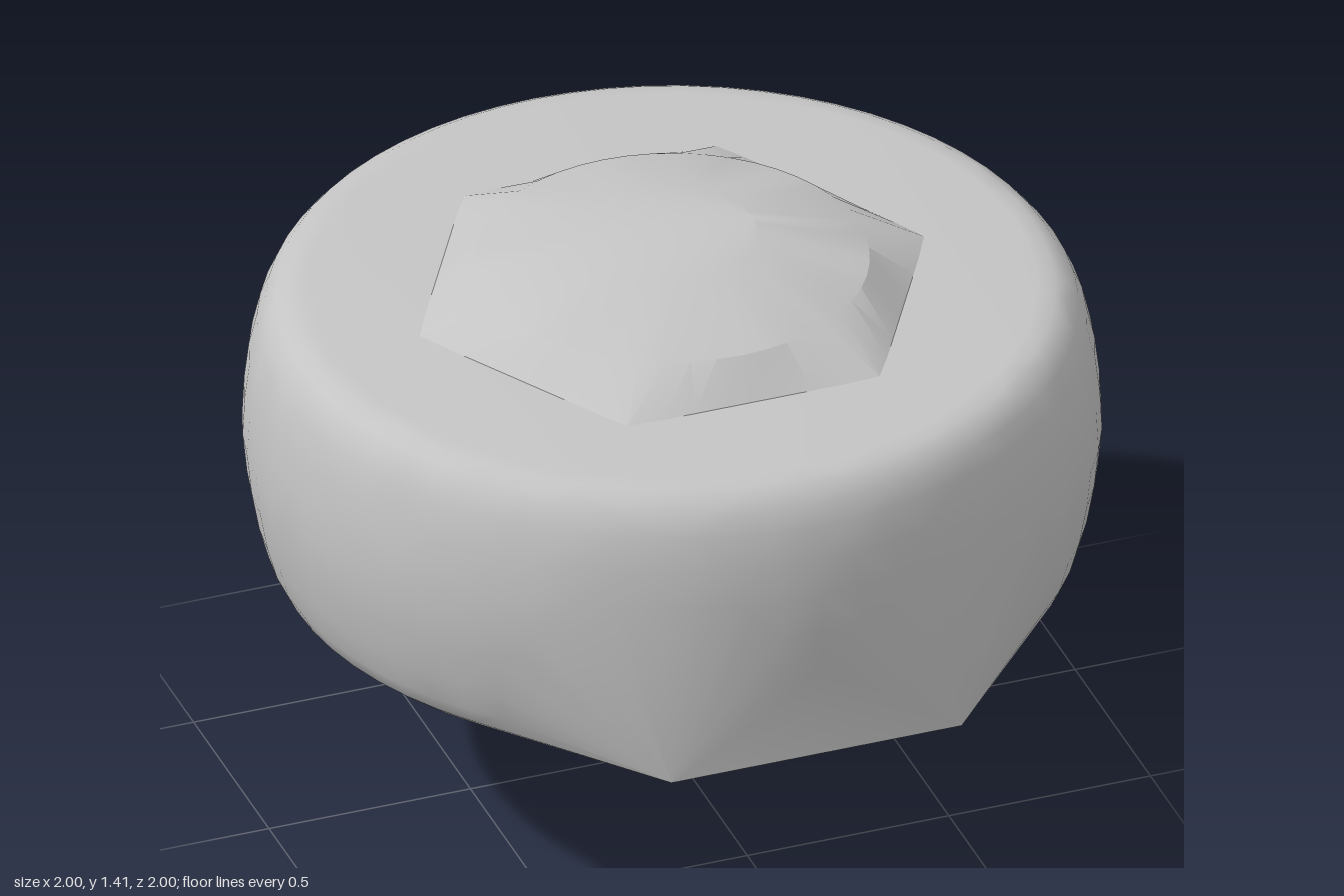
import * as THREE from 'three';
import { toCreasedNormals } from 'three/addons/utils/BufferGeometryUtils.js';
import { ConvexGeometry } from 'three/addons/geometries/ConvexGeometry.js';

const grey = new THREE.MeshStandardMaterial({ color: 0xc4c4c4 });
grey.name = 'plain grey';

const V = (x, y, z) => new THREE.Vector3(x, y, z);

function part(name, geometry, crease) {
  const mesh = new THREE.Mesh(toCreasedNormals(geometry, crease), grey);
  mesh.name = name;
  return mesh;
}

// Ring of points with radius given by a function of the angle
function ring(y, radius, n) {
  return Array.from({ length: n }, (_, i) => {
    const a = (i / n) * Math.PI * 2;
    const r = radius(a);
    return V(Math.cos(a) * r, y, Math.sin(a) * r);
  });
}

// Closed loft through rings listed from bottom to top
function loft(rings) {
  const n = rings[0].length;
  const positions = [];
  const index = [];
  rings.forEach((r) => r.forEach((p) => positions.push(p.x, p.y, p.z)));
  for (let j = 0; j < rings.length - 1; j++) {
    for (let i = 0; i < n; i++) {
      const k = (i + 1) % n;
      const a = j * n + i, b = j * n + k, c = a + n, d = b + n;
      index.push(a, c, b, b, c, d);
    }
  }
  const last = (rings.length - 1) * n;
  for (let i = 1; i < n - 1; i++) {
    index.push(0, i, i + 1);
    index.push(last, last + i + 1, last + i);
  }
  const g = new THREE.BufferGeometry();
  g.setAttribute('position', new THREE.Float32BufferAttribute(positions, 3));
  g.setIndex(index);
  return g;
}

// Round body, pulled out to two low corners at the front
function body() {
  const profile = [
    [0.86, 0.545], [0.9, 0.553], [0.93, 0.578], [0.95, 0.62], [0.972, 0.7],
    [0.99, 0.8], [1, 0.9], [0.995, 1], [0.984, 1.09], [0.965, 1.17],
    [0.945, 1.215], [0.92, 1.245], [0.89, 1.262], [0.85, 1.267],
  ];
  const points = profile.flatMap(([r, y]) => ring(y, () => r, 64));
  points.push(V(-0.36, 0.545, 0.96), V(0.36, 0.545, 0.96));
  return part('body', new ConvexGeometry(points), 0.5);
}

// Hexagonal boss that domes into a circle above and below the body
function boss() {
  const circle = (r) => () => r;
  const hexagon = (a) => {
    const s = Math.PI / 3;
    const t = (((a % s) + s) % s) - s / 2;
    return Math.min(0.625, 0.545 / Math.cos(t));
  };
  const rings = [
    ring(0.42, circle(0.2), 48),
    ring(0.467, circle(0.46), 48),
    ring(0.53, hexagon, 48),
    ring(1.267, hexagon, 48),
    ring(1.345, circle(0.46), 48),
    ring(1.412, circle(0.2), 48),
  ];
  return part('hexagonBoss', loft(rings), 0.4);
}

// Lopsided collar with a tapering underside
function collar() {
  const outline = [[0.21, 0.15], [0.2, 0.08], [0.15, -0.17], [-0.1, -0.25], [-0.24, -0.2], [-0.22, 0.15]];
  const points = [];
  outline.forEach(([x, z]) => {
    points.push(V(x * 0.95, 0.42, z * 0.92), V(x, 0.37, z), V(x * 1.01, 0.335, z * 1.03), V(x, 0.3, z));
    points.push(V(x * 0.6, 0.25, z * 0.6));
  });
  return part('collar', new ConvexGeometry(points), 0.3);
}

// Eight-sided blunt pin
function pin() {
  const levels = [[0.3, 0.155, 0.14], [0.2, 0.145, 0.125], [0.02, 0.068, 0.092], [0, 0.055, 0.08]];
  const rings = levels.reverse().map(([y, rx, rz]) =>
    ring(y, () => 1, 8).map((p) => V(p.x * rx, y, p.z * rz)));
  return part('pin', loft(rings), 0.5);
}

export function createModel() {
  const model = new THREE.Group();
  model.name = 'knob';
  const bar = part('frontBar', new THREE.BoxGeometry(0.51, 0.125, 0.075), 0.3);
  bar.position.set(0.005, 0.358, 0.183);
  model.add(body(), boss(), collar(), bar, pin());
  return model;
}
